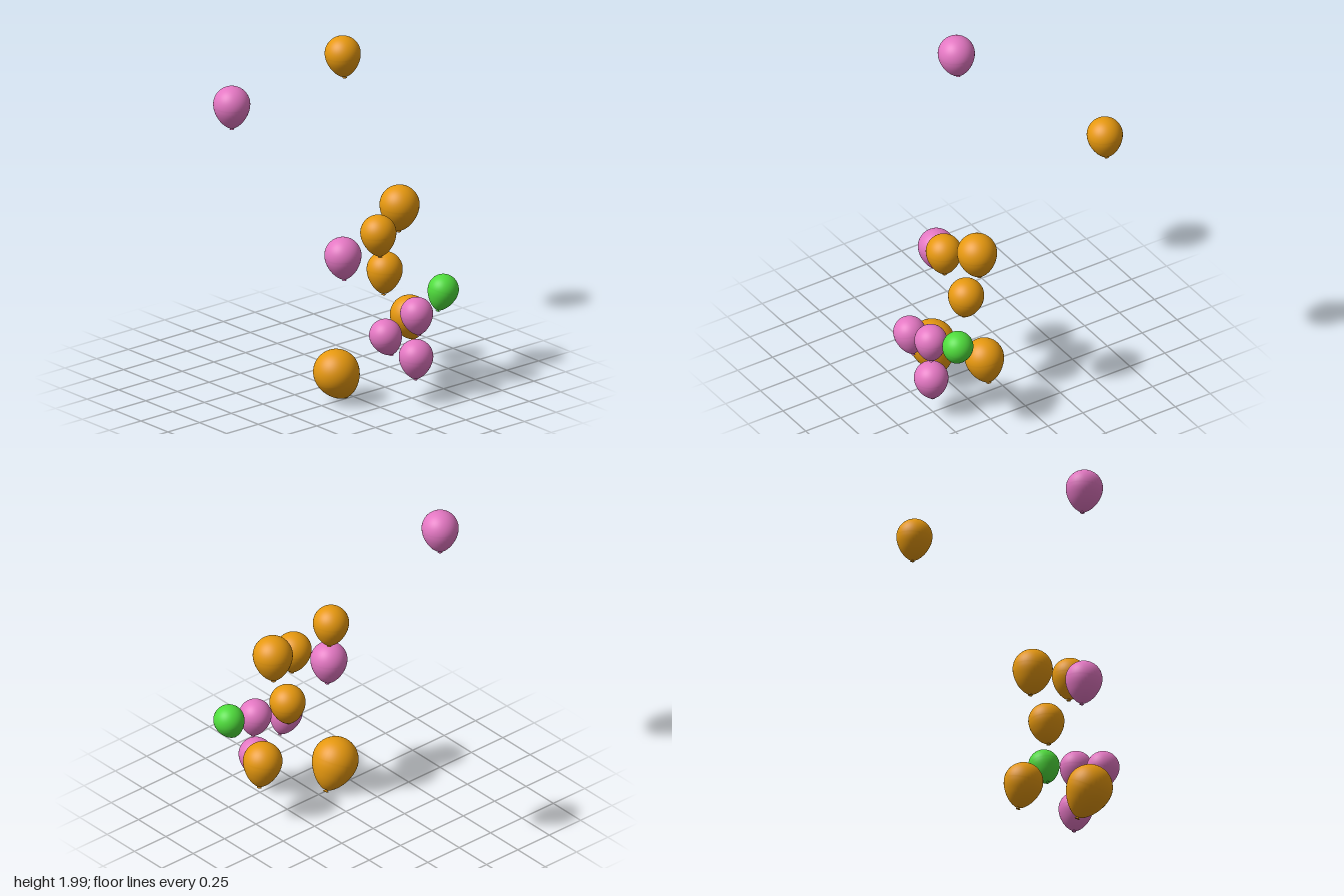
import * as THREE from 'three';

const pink = new THREE.MeshStandardMaterial({ color: 0xe377c2 });
const orange = new THREE.MeshStandardMaterial({ color: 0xe6980f });
const green = new THREE.MeshStandardMaterial({ color: 0x4fdc3c });

// Unit balloon skin: hemisphere on top, tapering egg below
function skinGeometry() {
  const lower = new THREE.SplineCurve([
    [0.06, -1.39], [0.22, -1.34], [0.48, -1.14], [0.71, -0.86],
    [0.88, -0.54], [0.97, -0.26], [1, 0],
  ].map(([x, y]) => new THREE.Vector2(x, y))).getPoints(28);
  const upper = [];
  for (let i = 1; i <= 18; i++) {
    const a = (i / 18) * Math.PI / 2;
    upper.push(new THREE.Vector2(i === 18 ? 0 : Math.cos(a), Math.sin(a)));
  }
  return new THREE.LatheGeometry([...lower, ...upper], 40);
}

// Knot: narrow neck flaring to a rolled lip
function knotGeometry() {
  const pts = [
    [0, -1.45], [0.09, -1.48], [0.125, -1.47], [0.11, -1.445], [0.06, -1.42], [0.055, -1.38],
  ].map(([x, y]) => new THREE.Vector2(x, y));
  return new THREE.LatheGeometry(pts, 16);
}

// [material, centre x, y, z, radius, knot offset x, knot offset z]
const balloons = [
  [pink, -0.574, 1.888, -0.203, 0.112, 0.009, -0.009],
  [orange, 0.573, 1.851, -0.522, 0.109, 0.017, -0.002],
  [orange, 0.36, 1.152, 0.256, 0.121, 0.006, -0.014],
  [orange, 0.122, 1.052, 0.339, 0.109, 0.013, 0.002],
  [pink, -0.087, 0.933, 0.256, 0.112, 0.016, -0.004],
  [orange, 0.242, 0.767, 0.257, 0.109, -0.014, 0.006],
  [green, 0.507, 0.639, 0.489, 0.094, -0.04, -0.006],
  [pink, 0.265, 0.554, 0.526, 0.099, 0.014, 0.004],
  [pink, 0.024, 0.47, 0.521, 0.099, 0.047, 0.003],
  [pink, 0.264, 0.277, 0.522, 0.104, 0.004, -0.01],
  [orange, 0.44, 0.43, 0.256, 0.119, 0.037, -0.01],
  [orange, -0.138, 0.198, 0.255, 0.14, 0.092, -0.017],
];

export function createModel() {
  const model = new THREE.Group();
  model.name = 'balloonCluster';
  const skin = skinGeometry();
  const knot = knotGeometry();
  const down = new THREE.Vector3(0, -1, 0);

  balloons.forEach(([material, x, y, z, r, dx, dz], i) => {
    const balloon = new THREE.Group();
    balloon.name = `balloon${i + 1}`;
    const body = new THREE.Mesh(skin, material);
    body.name = 'balloonSkin';
    const tie = new THREE.Mesh(knot, material);
    tie.name = 'balloonKnot';
    balloon.add(body, tie);
    balloon.position.set(x, y, z);
    balloon.scale.setScalar(r);
    // Lean the balloon so its knot lands at the given offset
    const drop = Math.sqrt((1.47 * r) ** 2 - dx * dx - dz * dz);
    balloon.quaternion.setFromUnitVectors(down, new THREE.Vector3(dx, -drop, dz).normalize());
    model.add(balloon);
  });
  return model;
}
